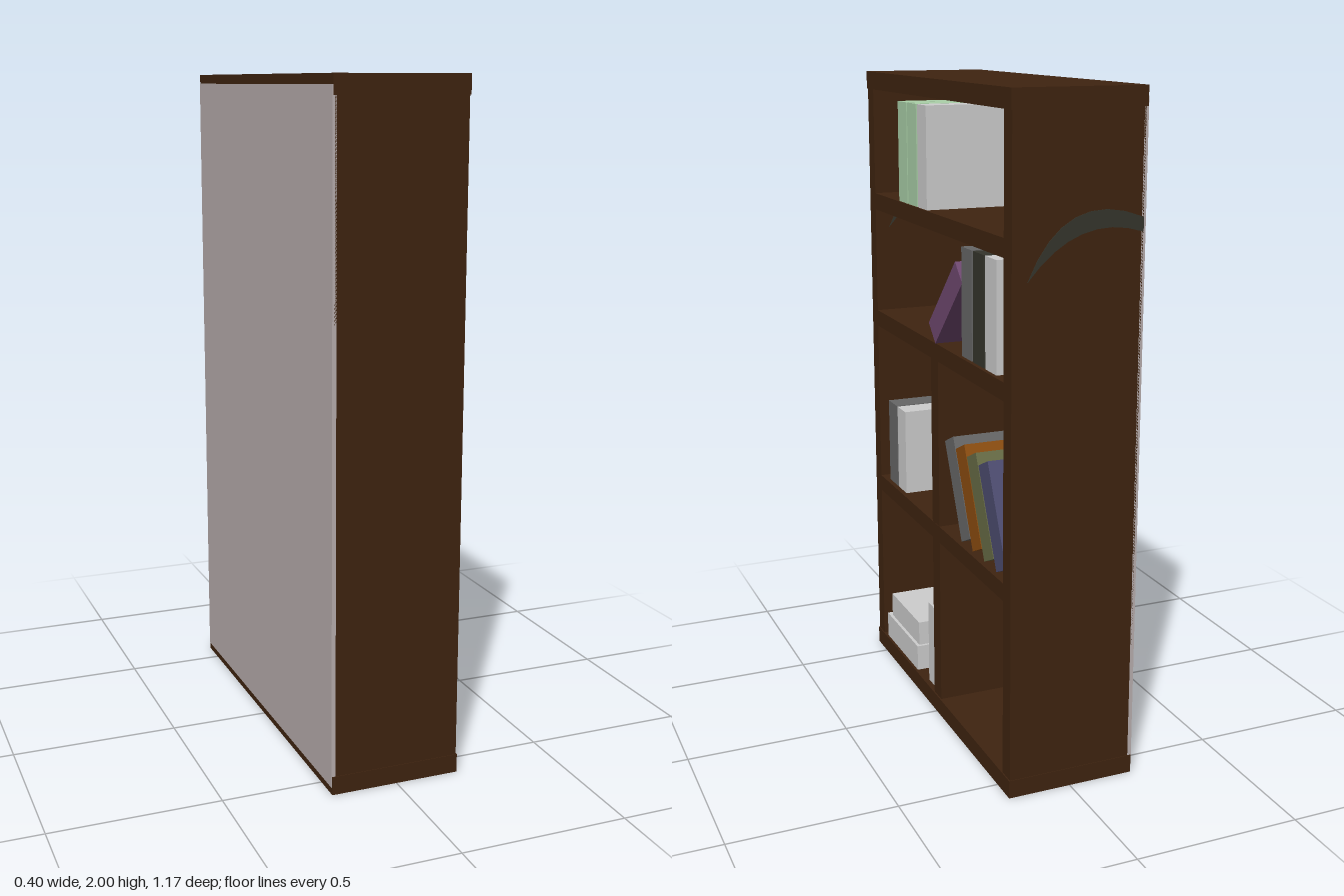
import * as THREE from 'three';

const mat = (name, color) => {
  const m = new THREE.MeshStandardMaterial({ color });
  m.name = name;
  return m;
};

export function createModel() {
  const root = new THREE.Group();
  root.name = 'bookcase';

  const wood = mat('dark wood', 0x3f2410);
  const panel = mat('back panel grey', 0xb8aeae);
  const green = mat('pale green', 0xaad0a8);
  const light = mat('light grey', 0xcdcdcd);
  const grey = mat('mid grey', 0x676767);
  const dark = mat('charcoal', 0x35352c);
  const purple = mat('purple', 0x6f4870);
  const orange = mat('orange brown', 0x8c4d10);
  const olive = mat('olive', 0x686c46);
  const blue = mat('slate blue', 0x4d4c70);

  // box from its limits on each axis
  const box = (name, m, x0, x1, y0, y1, z0, z1, parent = root) => {
    const mesh = new THREE.Mesh(new THREE.BoxGeometry(x1 - x0, y1 - y0, z1 - z0), m);
    mesh.position.set((x0 + x1) / 2, (y0 + y1) / 2, (z0 + z1) / 2);
    mesh.name = name;
    parent.add(mesh);
    return mesh;
  };

  // carcass, open towards +x
  box('topBoard', wood, -0.2, 0.193, 1.945, 2, -0.585, 0.585);
  box('bottomBoard', wood, -0.2, 0.193, 0, 0.055, -0.585, 0.585);
  box('sidePanelFront', wood, -0.195, 0.19, 0.055, 1.945, 0.53, 0.583);
  box('sidePanelBack', wood, -0.195, 0.19, 0.055, 1.945, -0.583, -0.53);
  for (const y of [0.59, 1.17, 1.56]) {
    box('shelf', wood, -0.19, 0.19, y, y + 0.053, -0.53, 0.53);
  }
  box('divider', wood, -0.19, 0.189, 0.055, 0.59, -0.03, 0.03);
  box('divider', wood, -0.19, 0.189, 0.643, 1.17, -0.03, 0.03);
  box('backPanel', panel, -0.202, -0.19, 0.022, 1.972, -0.583, 0.583);

  // upright and flat books: material, y range, z range, front edge
  const books = new THREE.Group();
  books.name = 'books';
  root.add(books);
  const straight = [
    [green, 1.613, 1.92, 0.23, 0.308, 0.185],
    [green, 1.613, 1.92, 0.145, 0.223, 0.185],
    [light, 1.613, 1.92, 0.06, 0.135, 0.185],
    [grey, 1.235, 1.55, -0.322, -0.246, 0.197],
    [dark, 1.235, 1.55, -0.41, -0.332, 0.197],
    [light, 1.235, 1.55, -0.498, -0.42, 0.197],
    [grey, 0.643, 0.922, 0.398, 0.478, 0.175],
    [light, 0.643, 0.922, 0.314, 0.39, 0.175],
    [light, 0.055, 0.14, 0.2, 0.505, 0.185],
    [light, 0.14, 0.22, 0.21, 0.482, 0.175],
    [light, 0.055, 0.33, 0.04, 0.118, 0.175],
  ];
  for (const [m, y0, y1, z0, z1, x1] of straight) {
    box('book', m, x1 - 0.33, x1, y0, y1, z0, z1, books);
  }

  // tilted books, turned about the depth axis
  const tilted = (m, y, z, angle, x1) => {
    const b = box('leaningBook', m, x1 - 0.33, x1, y - 0.155, y + 0.155, z - 0.038, z + 0.038, books);
    b.rotation.x = angle;
  };
  tilted(purple, 1.363, -0.114, -Math.PI / 4, 0.197);
  [grey, orange, olive, blue].forEach((m, i) => tilted(m, 0.8, -0.148 - i * 0.089, 0.44, 0.175));

  // dark crescent inlays on the end panels
  const arc = new THREE.Shape();
  arc.moveTo(0.145, 1.5);
  arc.quadraticCurveTo(0.04, 1.75, -0.195, 1.655);
  arc.lineTo(-0.195, 1.615);
  arc.quadraticCurveTo(0.0, 1.68, 0.145, 1.5);
  const arcGeo = new THREE.ExtrudeGeometry(arc, { depth: 0.003, bevelEnabled: false, curveSegments: 8 });
  for (const z of [-0.585, 0.528]) {
    const mesh = new THREE.Mesh(arcGeo, dark);
    mesh.position.z = z;
    mesh.name = 'crescentInlay';
    root.add(mesh);
  }
  return root;
}
